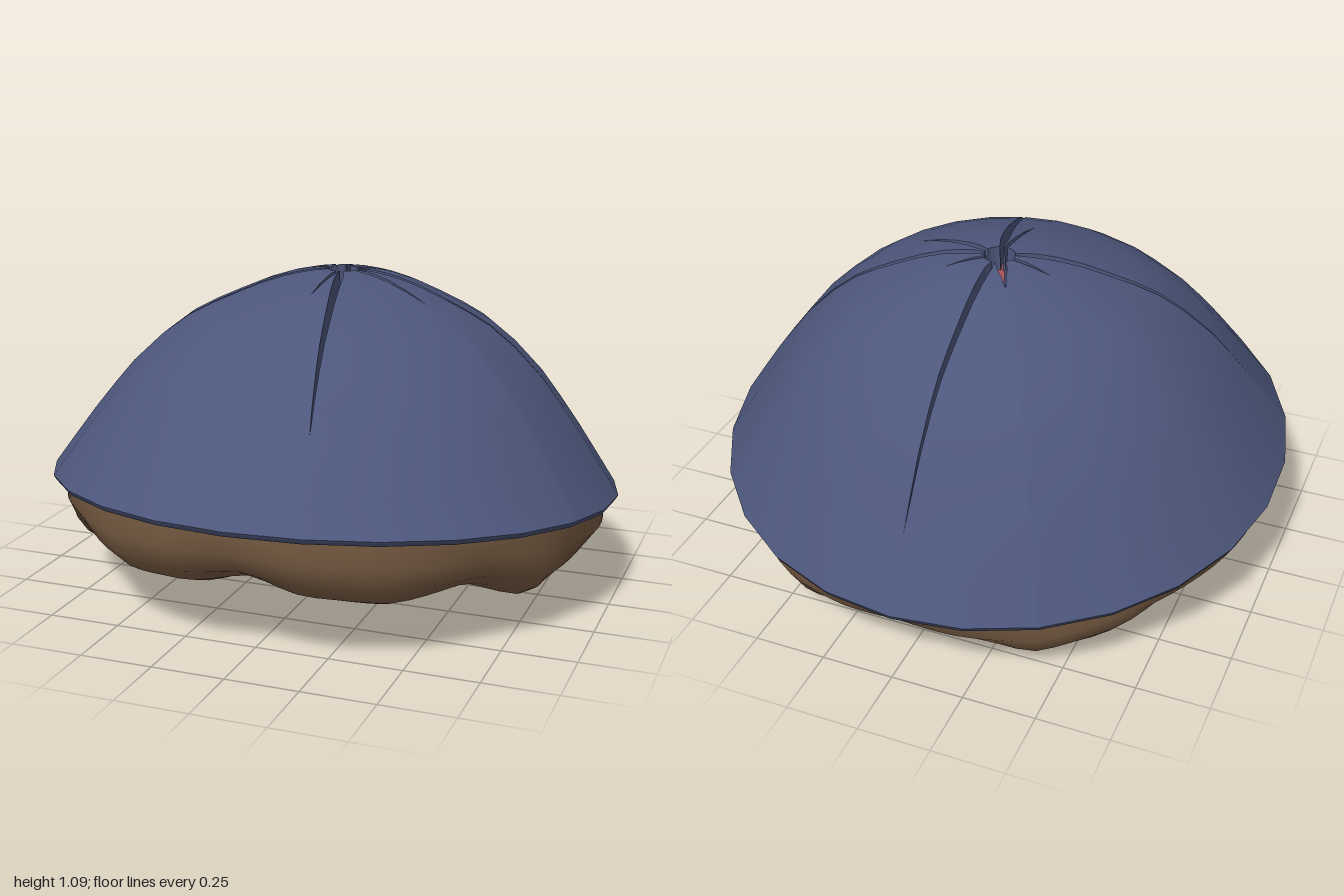
import * as THREE from 'three';
import { mergeVertices } from 'three/addons/utils/BufferGeometryUtils.js';

const SIDES = 26;
const TAU = Math.PI * 2;
const STEP = TAU / SIDES;
const { lerp, smoothstep } = THREE.MathUtils;

const material = (name, color) => {
  const m = new THREE.MeshStandardMaterial({ color, side: THREE.DoubleSide });
  m.name = name;
  return m;
};

// Tilted rim: higher at the front than at the back
const rimY = (a) => 0.376 + 0.112 * Math.cos(a);

// Dome profile: distance from the middle, relative height
const PROFILE = [
  [0, 1], [0.055, 0.998], [0.1, 0.994], [0.14, 0.986], [0.2, 0.968], [0.28, 0.932], [0.36, 0.885],
  [0.45, 0.828], [0.53, 0.768], [0.62, 0.672], [0.72, 0.535], [0.79, 0.412], [0.86, 0.282], [0.93, 0.142], [1, 0],
];

// Point on the dome at angle a (from +z towards +x), with straight rim sides
function domePoint(a, [f, h], drop = 0) {
  const d = a - Math.round(a / STEP) * STEP;
  const r = (f * Math.cos(STEP / 2)) / Math.cos(STEP / 2 - Math.abs(d));
  const y = rimY(a) + (1.1 - rimY(a)) * h - drop;
  return [r * Math.sin(a), y, r * Math.cos(a) - 0.075 * (1 - f)];
}

// Collects quads between neighbouring rows of points
function addGrid(out, rows) {
  for (let i = 0; i + 1 < rows.length; i++) {
    for (let j = 0; j + 1 < rows[i].length; j++) {
      const a = rows[i][j], b = rows[i + 1][j], c = rows[i + 1][j + 1], d = rows[i][j + 1];
      out.push(...a, ...b, ...c, ...a, ...c, ...d);
    }
  }
}

function makeMesh(name, positions, mat, smooth = true) {
  let g = new THREE.BufferGeometry();
  g.setAttribute('position', new THREE.Float32BufferAttribute(positions, 3));
  if (smooth) g = mergeVertices(g, 1e-4);
  g.computeVertexNormals();
  const mesh = new THREE.Mesh(g, mat);
  mesh.name = name;
  return mesh;
}

// Cracks: angle in degrees, reach, half width, widest half angle
const CRACKS = [
  [14, 0.78, 0.017, 0.12], [73, 0.36, 0.015, 0.12], [97.7, 0.82, 0.015, 0.12], [128, 0.16, 0.012, 0.12],
  [180, 0.84, 0.014, 0.12], [207, 0.165, 0.035, 0.3], [257, 0.19, 0.012, 0.12], [289.7, 0.81, 0.015, 0.12],
  [358, 0.27, 0.01, 0.1],
].map(([deg, tip, half, widest]) => ({ a: (deg * Math.PI) / 180, tip, half, widest }));

// Half angle of a crack at distance f, zero beyond its tip
const crackAngle = (c, f) => Math.min((c.half * Math.pow(Math.max(0, 1 - f / c.tip), 0.75)) / f, c.widest);

// Dome sectors between cracks, with the walls of the cracks and the top hole
function buildShell(group, shellMat) {
  const surface = [], walls = [];
  const rings = PROFILE.slice(1);
  const depth = 0.095;
  CRACKS.forEach((c, i) => {
    const next = CRACKS[(i + 1) % CRACKS.length];
    const end = next.a + (next.a < c.a ? TAU : 0);
    const columns = [c.a];
    for (let k = 0; k < SIDES * 2; k++) {
      if (k * STEP > c.a + 0.01 && k * STEP < end - 0.01) columns.push(k * STEP);
    }
    columns.push(end);
    const angles = (f, open = 1) => {
      const lo = c.a + crackAngle(c, f) * open, hi = end - crackAngle(next, f) * open;
      return columns.map((a) => Math.min(hi, Math.max(lo, a)));
    };
    addGrid(surface, rings.map((p) => angles(p[0]).map((a) => domePoint(a, p))));

    // walls narrow slightly with depth: first the hole, then both crack sides
    const levels = [[0, 1], [depth, 0.5]];
    addGrid(walls, levels.map(([d, open]) => angles(rings[0][0], open).map((a) => domePoint(a, rings[0], d))));
    for (const [crack, col] of [[c, 0], [next, columns.length - 1]]) {
      const reach = rings.filter((p, k) => k === 0 || rings[k - 1][0] < crack.tip);
      addGrid(walls, levels.map(([d, open]) => reach.map((p) => domePoint(angles(p[0], open)[col], p, d))));
    }
  });
  group.add(makeMesh('domeShell', surface, shellMat));
  group.add(makeMesh('crackWalls', walls, shellMat, false));
}

// Ring angles all the way round
const around = (n) => Array.from({ length: n + 1 }, (_, k) => (k * TAU) / n);

// Lowest line of the underside on each half: degrees from the front, radius, height
const LOWEST = [
  [0, 0.7, 0.25], [15, 0.78, 0.21], [32, 0.8, 0.19], [50, 0.76, 0.215], [66, 0.86, 0.15], [82, 0.72, 0.12],
  [100, 0.68, 0.1], [119, 0.68, 0.115], [138, 0.87, 0.1], [152, 0.74, 0.005], [165, 0.62, 0.045], [180, 0.56, 0.12],
];
const PATCH_Y = 0.325;

function lowestAt(a) {
  const deg = Math.min(180, (Math.acos(Math.cos(a)) * 180) / Math.PI);
  const i = Math.max(1, LOWEST.findIndex((k) => k[0] >= deg - 1e-6));
  const [from, to] = [LOWEST[i - 1], LOWEST[i]];
  const t = lerp((deg - from[0]) / (to[0] - from[0]), smoothstep(deg, from[0], to[0]), 0.6);
  return [lerp(from[1], to[1], t), lerp(from[2], to[2], t)];
}

// Cross-section either side of the lowest line: share of the radius, share of the depth
const OUTER = [[1, -0.08], [0.98, 0.35], [0.72, 0.7], [0.38, 0.9], [0, 1]];
const INNER = [[0.3, 0.92], [0.55, 0.68], [0.8, 0.3], [1, 0]];

function fleshColumn(a) {
  const [r, y] = lowestAt(a);
  const top = 0.365 + 0.108 * Math.cos(a);
  const at = (radius, height) => [radius * Math.sin(a), height, radius * Math.cos(a)];
  return [
    ...OUTER.map(([s, d]) => at(lerp(r, 0.955, s), lerp(top, y, d))),
    ...INNER.map(([s, d]) => at(lerp(r, 0.255, s), lerp(PATCH_Y, y, d))),
  ];
}

export function createModel() {
  const group = new THREE.Group();
  const shellMat = material('slate blue', 0x4d577c);
  const fleshMat = material('brown', 0x7d6046);
  const coreMat = material('dull red', 0xa8525c);

  buildShell(group, shellMat);

  // Red core beneath the cracks
  const core = [];
  addGrid(core, PROFILE.slice(0, -2).map((p) => around(SIDES).map((a) => domePoint(a, p, 0.09))));
  group.add(makeMesh('core', core, coreMat));

  // Lip folded under the rim
  const lip = [];
  const lipRows = [[1, 0], [0.99, 0.018], [0.965, 0.024], [0.92, 0.005]];
  addGrid(lip, lipRows.map(([r, d]) => around(SIDES).map((a) => [r * Math.sin(a), rimY(a) - d, r * Math.cos(a)])));
  group.add(makeMesh('rimLip', lip, shellMat));

  // Lobed underside, laid out as rings from the rim to the middle
  const flesh = [];
  const columns = around(90).map(fleshColumn);
  addGrid(flesh, columns[0].map((_, i) => columns.map((c) => c[i])));
  group.add(makeMesh('lobedUnderside', flesh, fleshMat));

  // Red patch in the middle of the underside
  const patch = [];
  const patchEdge = columns.map((c) => c[c.length - 1]);
  addGrid(patch, [patchEdge, patchEdge.map(() => [0, PATCH_Y, 0])]);
  group.add(makeMesh('undersidePatch', patch, coreMat));

  return group;
}
